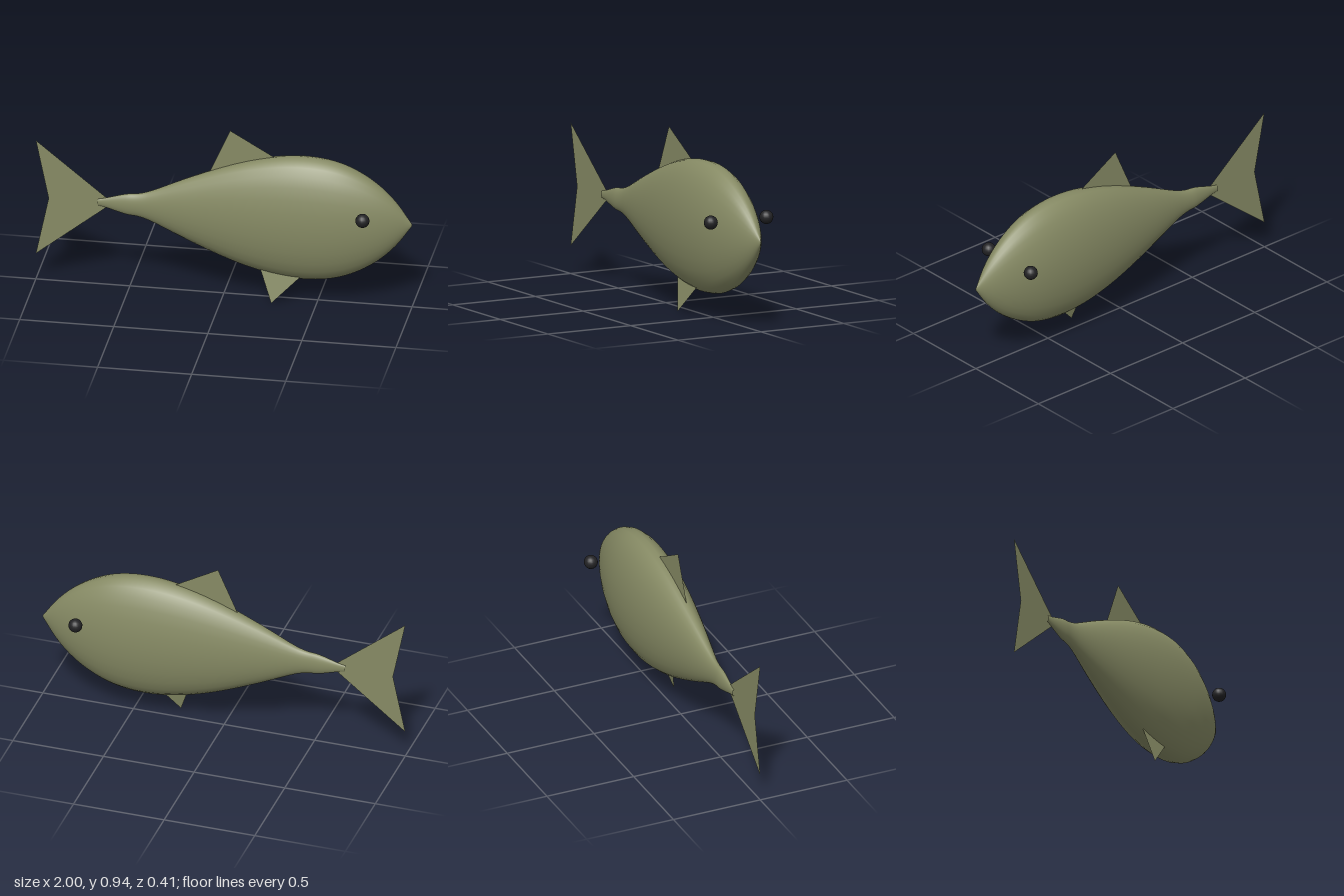
import * as THREE from 'three';

const AXIS_Y = 0.474; // height of the body's long axis

export function createModel() {
  const olive = new THREE.MeshStandardMaterial({ color: 0x868a64, side: THREE.DoubleSide });
  olive.name = 'olive skin';
  const black = new THREE.MeshStandardMaterial({ color: 0x222224 });
  black.name = 'black eye';

  const fish = new THREE.Group();
  fish.name = 'fish';
  const add = (name, geometry, material) => {
    const mesh = new THREE.Mesh(geometry, material);
    mesh.name = name;
    fish.add(mesh);
    return mesh;
  };

  // Body: half-heights along the length, lathed about x and flattened sideways
  const profile = [
    [-0.67, 0.018], [-0.64, 0.024], [-0.52, 0.058], [-0.46, 0.065], [-0.4, 0.082],
    [-0.2, 0.174], [0, 0.258], [0.15, 0.308], [0.3, 0.341], [0.43, 0.351],
    [0.55, 0.341], [0.65, 0.314], [0.75, 0.265], [0.84, 0.2], [0.92, 0.118], [1, 0.005],
  ].map(([x, r]) => new THREE.Vector3(r, x, 0));
  const curve = new THREE.CatmullRomCurve3(profile, false, 'centripetal');
  const points = curve.getPoints(60).map((p) => new THREE.Vector2(p.x, p.y));
  const body = new THREE.LatheGeometry(points, 28);
  body.rotateZ(-Math.PI / 2).scale(1, 1, 0.42).translate(0, AXIS_Y, 0);
  add('body', body, olive);

  // Flat fins, drawn as outlines in the side plane
  const fin = (name, outline) => {
    const shape = new THREE.Shape(outline.map(([x, y]) => new THREE.Vector2(x, y)));
    return add(name, new THREE.ShapeGeometry(shape), olive);
  };
  fin('tailFin', [[-0.59, AXIS_Y], [-1, 0.805], [-0.932, AXIS_Y], [-1, 0.148]]);
  fin('dorsalFin', [[-0.1, 0.645], [0.27, 0.72], [0.3, 0.79], [0.033, 0.945]]);

  // Belly fin leans outward to the left side as it goes down
  const belly = fin('bellyFin', [[0.265, 0], [0.44, 0.175], [0.182, 0.23]]);
  const pos = belly.geometry.attributes.position;
  for (let i = 0; i < pos.count; i++) pos.setZ(i, 0.083 - 0.21 * pos.getY(i));
  belly.geometry.computeVertexNormals();

  // Eyes stand off both sides of the head
  for (const [name, side] of [['frontEye', 1], ['backEye', -1]]) {
    add(name, new THREE.SphereGeometry(0.037, 16, 12), black).position.set(0.765, 0.56, side * 0.168);
  }

  return fish;
}
